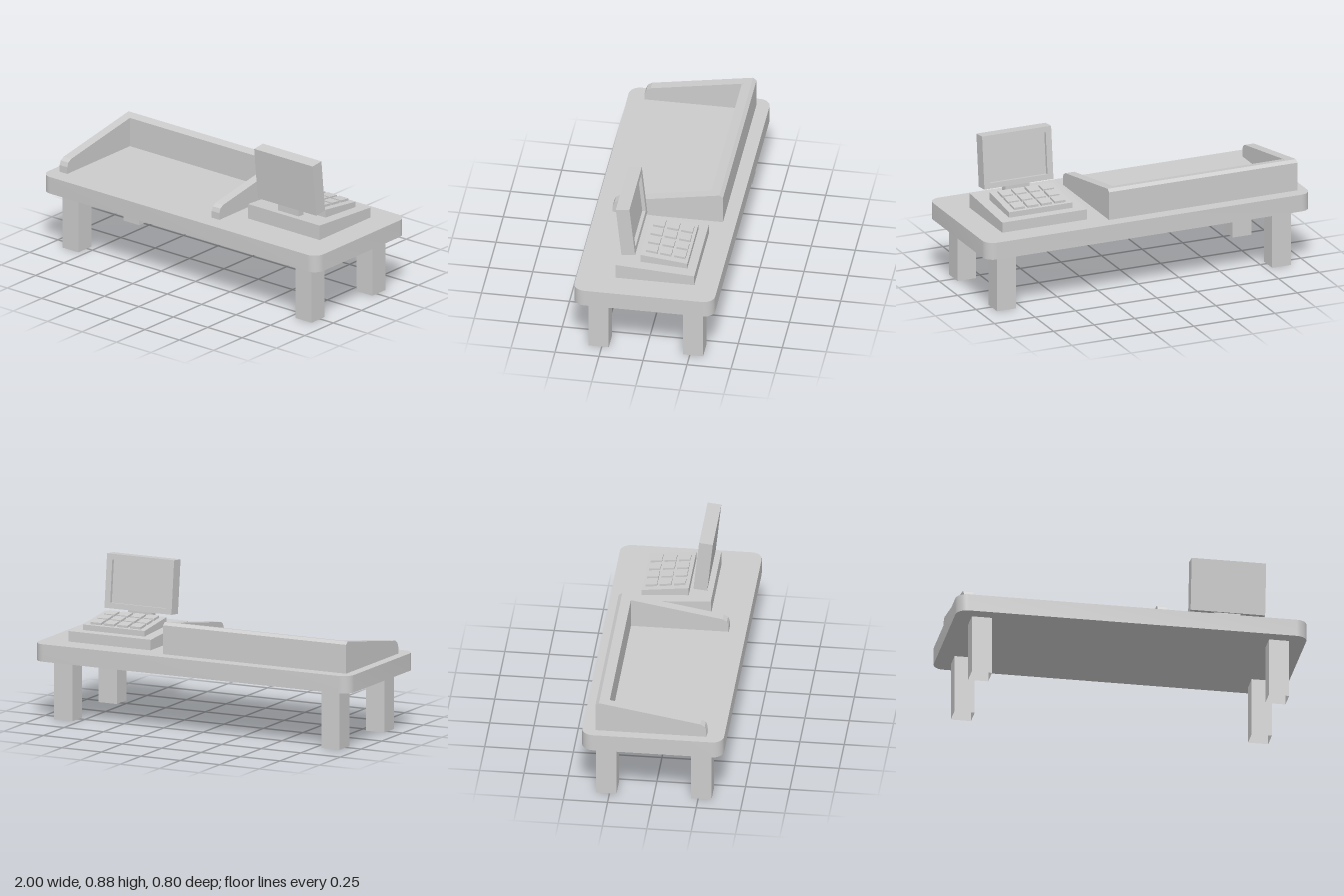
import * as THREE from 'three';
import { toCreasedNormals } from 'three/addons/utils/BufferGeometryUtils.js';

const grey = new THREE.MeshStandardMaterial({ color: 0xcccccc });
const openGrey = new THREE.MeshStandardMaterial({ color: 0xcccccc, side: THREE.DoubleSide, flatShading: true });

function add(parent, name, geometry, material = grey) {
  const mesh = new THREE.Mesh(geometry, material);
  mesh.name = name;
  parent.add(mesh);
  return mesh;
}

// Extrudes a side profile of [z, y] points from x0 to x1
function sideProfile(points, x0, x1) {
  const shape = new THREE.Shape(points.map(([z, y]) => new THREE.Vector2(z, y)));
  const geometry = new THREE.ExtrudeGeometry(shape, { depth: x1 - x0, bevelEnabled: false });
  return geometry.rotateY(-Math.PI / 2).translate(x1, 0, 0);
}

function rectangle(path, w, h) {
  return path.moveTo(-w / 2, -h / 2).lineTo(w / 2, -h / 2).lineTo(w / 2, h / 2).lineTo(-w / 2, h / 2).closePath();
}

// Table top with rounded corners, standing on four legs
function buildTable() {
  const table = new THREE.Group();
  table.name = 'table';
  const r = 0.065, w = 1, d = 0.4;
  const shape = new THREE.Shape();
  shape.moveTo(-w + r, -d).lineTo(w - r, -d);
  shape.absarc(w - r, -d + r, r, -Math.PI / 2, 0);
  shape.absarc(w - r, d - r, r, 0, Math.PI / 2);
  shape.absarc(-w + r, d - r, r, Math.PI / 2, Math.PI);
  shape.absarc(-w + r, -d + r, r, Math.PI, Math.PI * 1.5);
  const top = new THREE.ExtrudeGeometry(shape, { depth: 0.1, bevelEnabled: false, curveSegments: 4 });
  top.rotateX(-Math.PI / 2).translate(0, 0.34, 0);
  add(table, 'tableTop', toCreasedNormals(top, 0.6));

  // Square legs, open at the foot
  const radius = 0.115 / Math.SQRT2;
  const leg = new THREE.CylinderGeometry(radius, radius, 0.34, 4, 1, true, Math.PI / 4);
  for (const x of [-0.847, 0.847])
    for (const z of [-0.268, 0.268])
      add(table, 'leg', leg, openGrey).position.set(x, 0.17, z);
  return table;
}

// Sloping rim around three sides of the bagging area
function buildRim() {
  const rim = new THREE.Group();
  rim.name = 'rim';
  const back = [[-0.325, 0.44], [-0.325, 0.605], [-0.305, 0.62]];
  const side = [[0.302, 0.44], ...back.slice(0, 3), [0.268, 0.52], [0.292, 0.505], [0.302, 0.48]];
  const panel = [[-0.25, 0.44], ...back, [-0.25, 0.61]];
  add(rim, 'rightRail', sideProfile(side, -0.945, -0.89));
  add(rim, 'leftRail', sideProfile(side, 0.16, 0.215));
  add(rim, 'backPanel', sideProfile(panel, -0.89, 0.16));
  return rim;
}

// Till with keypad and tilted screen, turned toward the back
function buildRegister() {
  const register = new THREE.Group();
  register.name = 'register';
  add(register, 'registerBase',
    sideProfile([[0.182, 0.44], [-0.265, 0.44], [-0.265, 0.5], [0.182, 0.527]], 0.325, 0.845));
  add(register, 'keypad',
    sideProfile([[0.05, 0.515], [-0.215, 0.5], [-0.215, 0.535], [0.05, 0.566]], 0.39, 0.78));

  // Keys follow the slope of the keypad
  const slope = 0.031 / 0.265;
  const padY = (z) => 0.566 + (z - 0.05) * slope;
  for (let row = 0; row < 3; row++) {
    const z1 = 0.027 - row * 0.08, z0 = z1 - 0.065;
    const profile = [[z1, padY(z1)], [z0, padY(z0)], [z0, padY(z0) + 0.013], [z1, padY(z1) + 0.013]];
    for (let col = 0; col < 4; col++) {
      const x = 0.425 + col * 0.0835;
      add(register, 'key', sideProfile(profile, x, x + 0.066));
    }
  }

  add(register, 'screenNeck', new THREE.BoxGeometry(0.15, 0.09, 0.045)).position.set(0.586, 0.54, 0.122);

  // Screen with a recessed display in a raised bezel
  const screen = new THREE.Group();
  screen.name = 'screen';
  screen.position.set(0.5865, 0.724, 0.133);
  screen.rotation.x = 0.104;
  add(screen, 'screenHousing', new THREE.BoxGeometry(0.425, 0.308, 0.058)).position.z = 0.01;
  const frame = rectangle(new THREE.Shape(), 0.425, 0.308);
  frame.holes.push(rectangle(new THREE.Path(), 0.355, 0.245));
  add(screen, 'screenBezel', new THREE.ExtrudeGeometry(frame, { depth: 0.02, bevelEnabled: false })).position.z = -0.039;
  register.add(screen);
  return register;
}

export function createModel() {
  const model = new THREE.Group();
  model.name = 'checkoutTable';
  model.add(buildTable(), buildRim(), buildRegister());
  return model;
}
